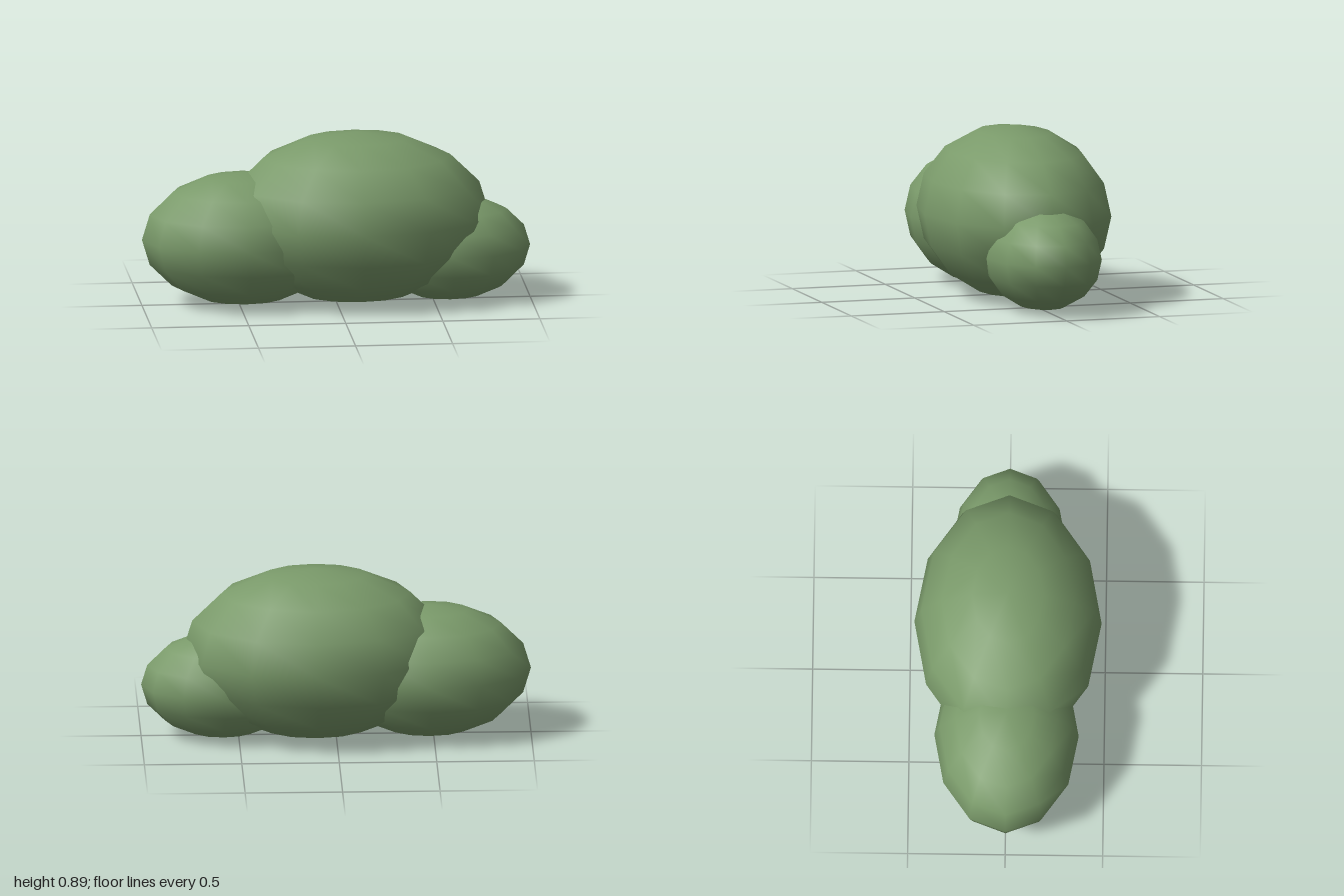
import * as THREE from 'three';

export function createModel() {
  const group = new THREE.Group();
  group.name = 'bush';
  const material = new THREE.MeshStandardMaterial({ color: 0x7a9a6a });
  const sphere = new THREE.SphereGeometry(1, 12, 8);

  // Each foliage clump is a squashed, smooth, low-poly ball resting on the ground
  const addClump = (name, x, rx, ry, rz) => {
    const mesh = new THREE.Mesh(sphere, material);
    mesh.name = name;
    mesh.position.set(x, ry, 0);
    mesh.scale.set(rx, ry, rz);
    group.add(mesh);
  };

  addClump('middleClump', 0.105, 0.685, 0.445, 0.48);
  addClump('rightClump', -0.475, 0.525, 0.345, 0.37);
  addClump('leftClump', 0.58, 0.42, 0.275, 0.295);

  return group;
}
